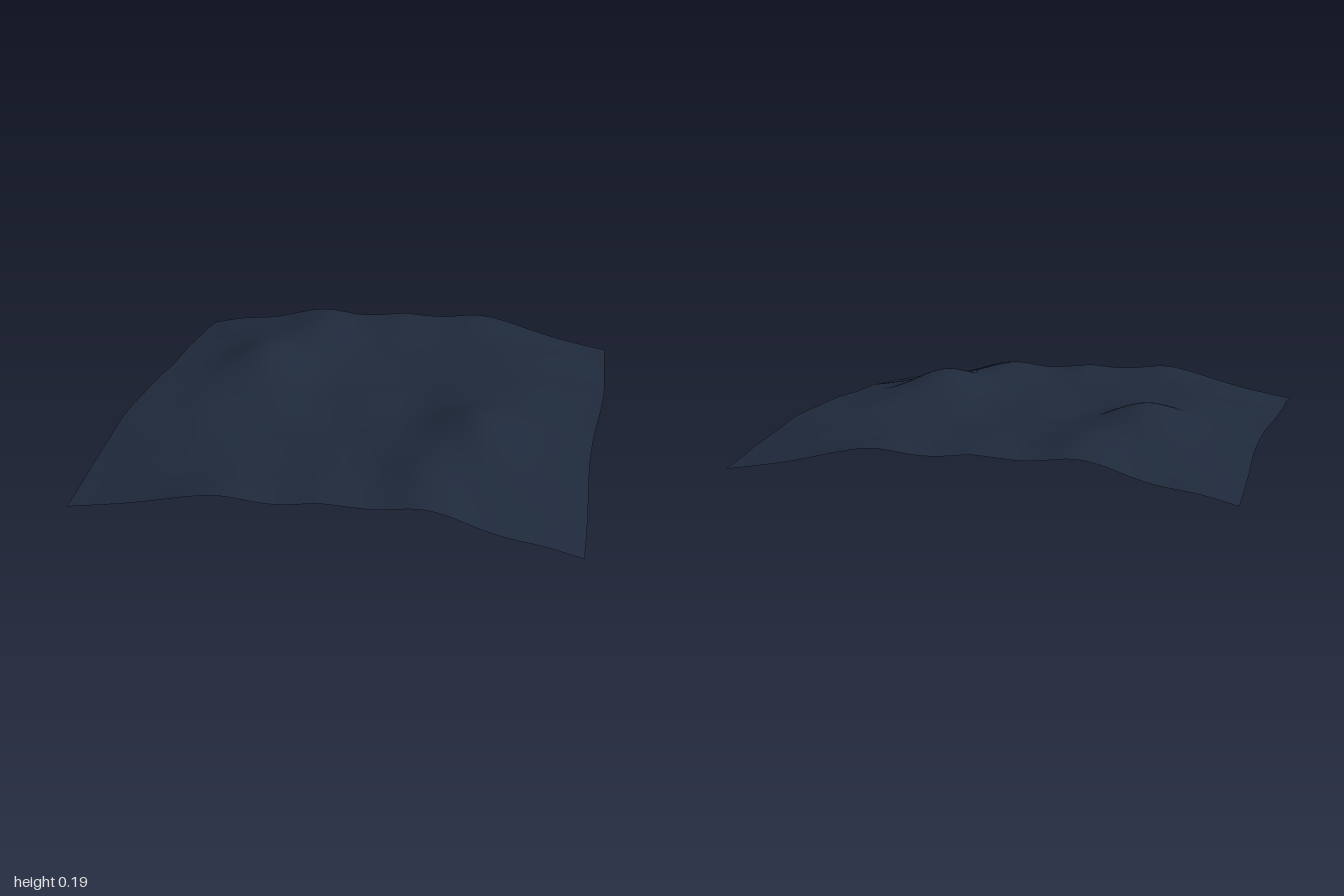
import * as THREE from 'three';

const HALF = 0.975, SEGMENTS = 110;

// Height from the middle line outward, at evenly spaced distances of 0.2
const profile = new THREE.SplineCurve(
  [0.106, 0.108, 0.13, 0.132, 0.106, 0.08].map((y, i) => new THREE.Vector2(i * 0.2, y))
);

const bump = (x, z, cx, cz, rx, rz) =>
  Math.exp(-(((x - cx) / rx) ** 2) - ((z - cz) / rz) ** 2);

// The cloth has half-turn symmetry, so every bump appears twice
const pair = (x, z, ...b) => bump(x, z, ...b) + bump(-x, -z, ...b);

function height(x, z) {
  const ax = Math.abs(x);
  let y = profile.getPoint(Math.min(ax, 1)).y;
  y -= 0.083 * ax * z * z;                            // sagging corners
  y += 0.02 * z * z * Math.exp(-((x / 0.3) ** 2));    // hem lifts in the middle
  y += 0.064 * pair(x, z, 0.53, 0.3, 0.18, 0.22);     // two tall folds
  y += 0.034 * pair(x, z, 0.36, 0.78, 0.17, 0.32);    // ridges running to the hem
  y += 0.029 * pair(x, z, -0.36, 0.97, 0.18, 0.25);
  y -= 0.018 * pair(x, z, -0.38, 0.3, 0.2, 0.2);      // hollows beside the folds
  y -= 0.012 * pair(x, z, 0.02, 0.3, 0.18, 0.18);
  y -= 0.012 * (pair(x, z, 0.64, 1, 0.14, 0.2) + pair(x, z, -0.64, 1, 0.14, 0.2)); // dips in the hem
  y += 0.004 * Math.cos(9 * x + 5 * z) * Math.cos(4 * x - 11 * z); // fine wrinkles
  y += 0.002 * Math.cos(17 * x - 8 * z);
  return Math.max(y, 0);
}

// Sideways drift that gives the hems their wavy outline
const drift = (t) => Math.sin(Math.PI * t) + 0.5 * Math.sin(2 * Math.PI * t);

export function createModel() {
  const group = new THREE.Group();
  group.name = 'drapedCloth';

  const slate = new THREE.MeshStandardMaterial({ color: 0x1e293b, side: THREE.DoubleSide });
  slate.name = 'dark slate cloth';

  const geometry = new THREE.PlaneGeometry(2 * HALF, 2 * HALF, SEGMENTS, SEGMENTS);
  geometry.rotateX(-Math.PI / 2);
  const p = geometry.attributes.position;
  for (let i = 0; i < p.count; i++) {
    const x = p.getX(i), z = p.getZ(i);
    p.setXYZ(i, x - 0.011 * drift(z), height(x, z), z - 0.019 * drift(x));
  }
  geometry.computeVertexNormals();

  const cloth = new THREE.Mesh(geometry, slate);
  cloth.name = 'clothSheet';
  group.add(cloth);
  return group;
}
